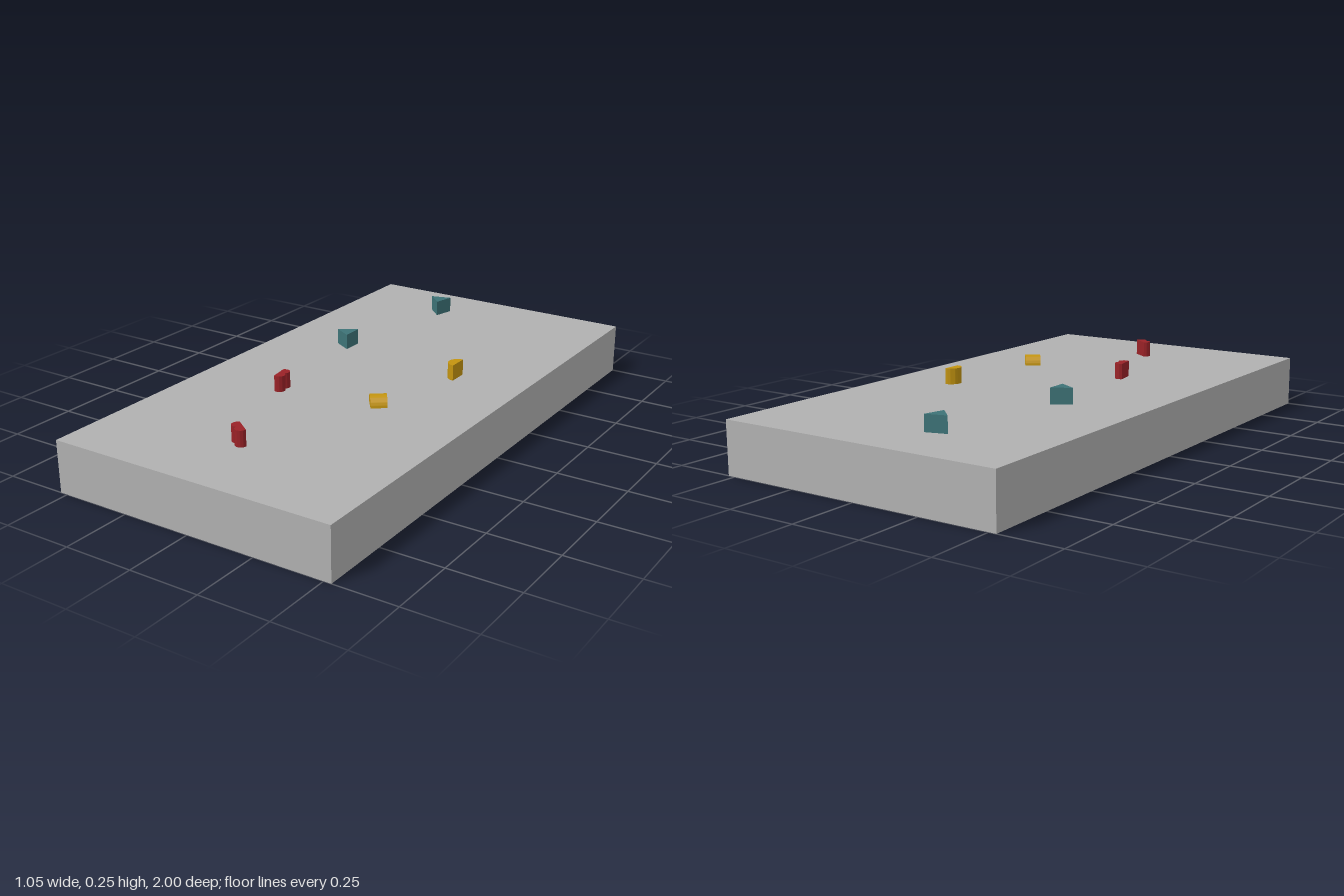
import * as THREE from 'three';
import { toCreasedNormals } from 'three/addons/utils/BufferGeometryUtils.js';

const HEIGHT = 0.057; // thickness of every small block
const MID = 0.2185;   // centre height of the upright blocks

const mat = (name, color) => {
  const m = new THREE.MeshStandardMaterial({ color });
  m.name = name;
  return m;
};

function heartShape() {
  // tip at the origin, two round lobes toward +y
  const s = new THREE.Shape();
  s.moveTo(0, 0);
  s.absarc(0.0175, 0.053, 0.02, -0.686, 2.636, false);
  s.absarc(-0.0175, 0.053, 0.02, 0.505, Math.PI + 0.686, false);
  s.closePath();
  return s;
}

function halfDiscShape() {
  const s = new THREE.Shape();
  s.absarc(0, 0, 0.036, 0, Math.PI, false);
  s.closePath();
  return s;
}

function triangleShape() {
  // one corner toward +y
  const pts = [0, 1, 2].map(i => {
    const a = Math.PI / 2 + i * Math.PI * 2 / 3;
    return new THREE.Vector2(0.0445 * Math.cos(a), 0.0445 * Math.sin(a));
  });
  return new THREE.Shape(pts);
}

// Prism centred along its depth; upright ones have the outline in plan (+y becomes +z)
function prism(shape, upright = true) {
  const g = new THREE.ExtrudeGeometry(shape, { depth: HEIGHT, bevelEnabled: false, curveSegments: 16 });
  g.translate(0, 0, -HEIGHT / 2);
  if (upright) g.rotateX(Math.PI / 2);
  return toCreasedNormals(g, 0.6);
}

export function createModel() {
  const model = new THREE.Group();
  model.name = 'slabWithBlocks';
  const grey = mat('slab grey', 0xb0b0b0);
  const red = mat('heart red', 0x9a2227);
  const yellow = mat('half round yellow', 0xc3940f);
  const teal = mat('triangle teal', 0x3d7377);

  const add = (name, geometry, material, x, y, z, turn = 0) => {
    const mesh = new THREE.Mesh(geometry, material);
    mesh.name = name;
    mesh.position.set(x, y, z);
    mesh.rotation.y = turn;
    model.add(mesh);
  };

  // Base slab
  add('slab', new THREE.BoxGeometry(1.054, 0.185, 2), grey, 0, 0.0925, 0);

  // Hearts, placed by their tips
  const heart = prism(heartShape());
  add('frontHeart', heart, red, 0.012, MID, 0.667, -0.62);
  add('middleHeart', heart, red, -0.235, MID, 0.272, 1.72);

  // Half cylinders: one standing, one lying on its flat side
  add('standingHalfCylinder', prism(halfDiscShape()), yellow, 0.279, MID, -0.157, -Math.PI / 2);
  add('lyingHalfCylinder', prism(halfDiscShape(), false), yellow, 0.195, 0.205, 0.236, 2.21);

  // Triangles
  const triangle = prism(triangleShape());
  add('middleTriangle', triangle, teal, -0.238, MID, -0.227, -Math.PI / 2);
  add('backTriangle', triangle, teal, -0.146, MID, -0.767, -1.82);

  return model;
}
